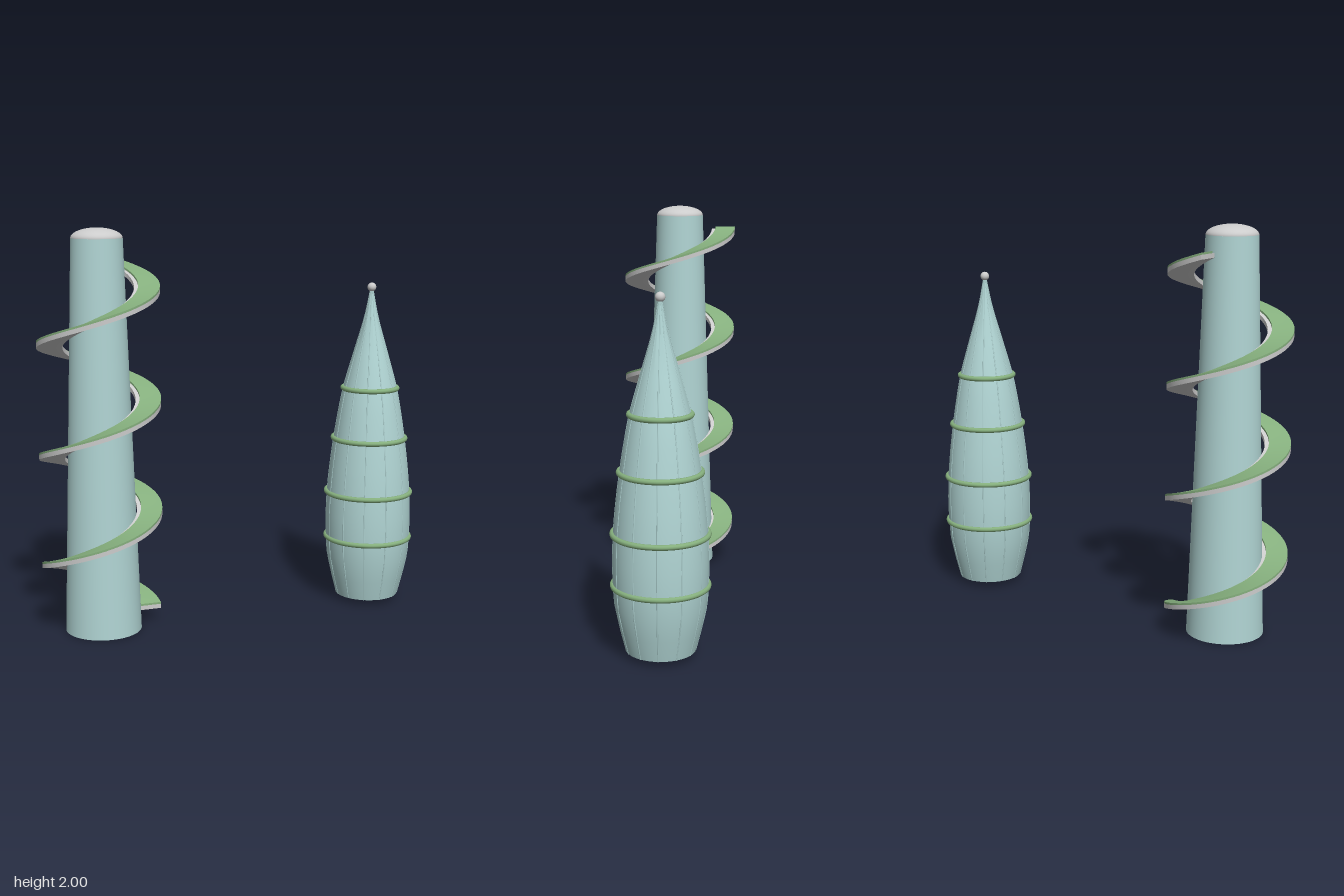
import * as THREE from 'three';
import { toCreasedNormals } from 'three/addons/utils/BufferGeometryUtils.js';

const blue = new THREE.MeshStandardMaterial({ color: 0xb0d4d3 });
const green = new THREE.MeshStandardMaterial({ color: 0x86b07e });
const grey = new THREE.MeshStandardMaterial({ color: 0xcccccc });

function add(parent, name, geometry, material, y = 0) {
  const mesh = new THREE.Mesh(geometry, material);
  mesh.name = name;
  mesh.position.y = y;
  parent.add(mesh);
  return mesh;
}

// Rectangular section swept up a helix, rising from +x towards the back
function helixSlab(inner, outer, bottom, top, turns, pitch) {
  const steps = Math.round(turns * 64);
  const section = [[inner, bottom], [outer, bottom], [outer, top], [inner, top]];
  const positions = [];
  const index = [];
  for (let i = 0; i <= steps; i++) {
    const t = (i / steps) * turns;
    const angle = t * Math.PI * 2;
    for (const [r, y] of section) {
      positions.push(r * Math.cos(angle), y + t * pitch, -r * Math.sin(angle));
    }
  }
  for (let i = 0; i < steps; i++) {
    for (let j = 0; j < 4; j++) {
      const a = i * 4 + j;
      const b = i * 4 + ((j + 1) % 4);
      index.push(a, a + 4, b, b, a + 4, b + 4);
    }
  }
  const e = steps * 4;
  index.push(0, 1, 2, 0, 2, 3, e, e + 2, e + 1, e, e + 3, e + 2);
  const geometry = new THREE.BufferGeometry();
  geometry.setAttribute('position', new THREE.Float32BufferAttribute(positions, 3));
  geometry.setIndex(index);
  return toCreasedNormals(geometry, 0.6);
}

function createSpiralTower() {
  const tower = new THREE.Group();
  tower.name = 'spiralTower';
  tower.position.x = -0.7;

  // Tapered shaft with a shallow domed cap
  add(tower, 'towerShaft', new THREE.CylinderGeometry(0.125, 0.19, 1.95, 64), blue, 0.975);
  const dome = new THREE.SphereGeometry(0.125, 48, 12, 0, Math.PI * 2, 0, Math.PI / 2);
  dome.scale(1, 0.4, 1);
  add(tower, 'towerCap', dome, grey, 1.95);

  // Ramp: structural slab with a planted deck on it
  add(tower, 'rampSlab', helixSlab(0.175, 0.3, 0.068, 0.09, 3.25, 0.55), grey);
  add(tower, 'rampDeck', helixSlab(0.195, 0.3, 0.09, 0.1, 3.25, 0.55), green);
  return tower;
}

function createPodTower() {
  const pod = new THREE.Group();
  pod.name = 'podTower';
  pod.position.x = 0.76;

  // Spindle profile: radius, height
  const profile = [
    [0.165, 0.03], [0.19, 0.13], [0.215, 0.25], [0.222, 0.36], [0.223, 0.47], [0.218, 0.6],
    [0.205, 0.74], [0.187, 0.88], [0.165, 1.02], [0.14, 1.15], [0.09, 1.33], [0.036, 1.52], [0.008, 1.66],
  ].map(([r, y]) => new THREE.Vector2(r, y));
  const shell = new THREE.LatheGeometry([new THREE.Vector2(0, 0), ...profile], 48);
  add(pod, 'podShell', toCreasedNormals(shell, 0.6), blue);

  // Slim vertical ribs, just proud of the shell
  const path = new THREE.CatmullRomCurve3(profile.map((p) => new THREE.Vector3(p.x - 0.002, p.y, 0)));
  const rib = new THREE.TubeGeometry(path, 40, 0.004, 6);
  for (let i = 0; i < 12; i++) {
    add(pod, 'podRib', rib, blue).rotation.y = (i / 12) * Math.PI * 2;
  }

  // Horizontal ring bands: height, radius
  for (const [y, r] of [[0.345, 0.222], [0.59, 0.222], [0.88, 0.19], [1.147, 0.142]]) {
    const ring = new THREE.TorusGeometry(r, 0.013, 10, 64);
    ring.rotateX(Math.PI / 2);
    add(pod, 'podRing', ring, green, y);
  }

  // Finial ball
  add(pod, 'finial', new THREE.SphereGeometry(0.023, 20, 14), grey, 1.675);
  return pod;
}

export function createModel() {
  const model = new THREE.Group();
  model.name = 'twinTowers';
  model.add(createSpiralTower(), createPodTower());
  return model;
}
